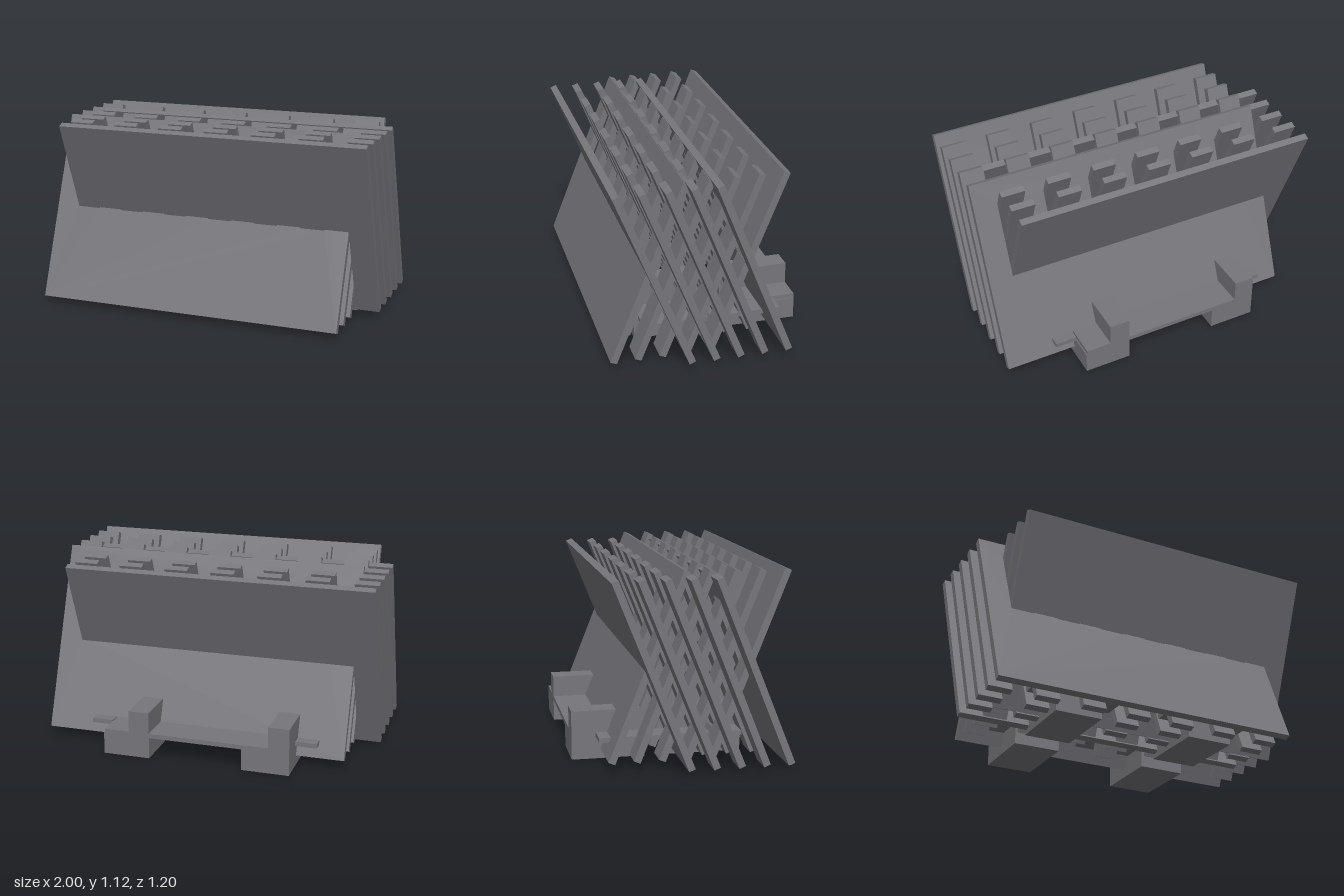
import * as THREE from 'three';

const U = 1 / 7;              // module width: one tooth, one gap
const LEN = 8 * U;            // slat length along its slope
const THICK = 0.04;
const TILT = Math.atan(0.4);

const grey = new THREE.MeshStandardMaterial({ color: 0x77767b });
grey.name = 'grey';

function box(name, x0, x1, y0, y1, z0, z1) {
  const mesh = new THREE.Mesh(new THREE.BoxGeometry(x1 - x0, y1 - y0, z1 - z0), grey);
  mesh.position.set((x0 + x1) / 2, (y0 + y1) / 2, (z0 + z1) / 2);
  mesh.name = name;
  return mesh;
}

// Outer board: a full panel with a row of windows between two heights
function windowedPanel(low, high) {
  const w = 6.5 * U, h = LEN / 2;
  const shape = new THREE.Shape([
    new THREE.Vector2(-w, -h), new THREE.Vector2(w, -h),
    new THREE.Vector2(w, h), new THREE.Vector2(-w, h),
  ]);
  for (let i = 0; i < 6; i++) {
    const x = -w + (2 * i + 1) * U;
    shape.holes.push(new THREE.Path([
      new THREE.Vector2(x, low), new THREE.Vector2(x, high),
      new THREE.Vector2(x + U, high), new THREE.Vector2(x + U, low),
    ]));
  }
  const geo = new THREE.ExtrudeGeometry(shape, { depth: THICK, bevelEnabled: false });
  geo.translate(0, 0, -THICK / 2);
  const mesh = new THREE.Mesh(geo, grey);
  mesh.name = 'windowedPanel';
  return mesh;
}

// Inner row: seven separate planks
function plankRow() {
  const row = new THREE.Group();
  for (let i = 0; i < 7; i++) {
    const x = (2 * i - 6.5) * U;
    row.add(box('plank', x, x + U, -LEN / 2, LEN / 2, -THICK / 2, THICK / 2));
  }
  row.name = 'plankRow';
  return row;
}

// Five parallel leaning rows
function leaningSet() {
  const set = new THREE.Group();
  for (let i = 0; i < 5; i++) {
    const row = i === 0 ? windowedPanel(-3 * U, 0)
      : i === 4 ? windowedPanel(0, 3 * U) : plankRow();
    row.position.set(U / 2, 0.5825, 0.3695 - i * U);
    row.rotation.x = TILT;
    set.add(row);
  }
  return set;
}

export function createModel() {
  const model = new THREE.Group();

  // Two sets lean opposite ways and interlock
  const forward = leaningSet();
  forward.name = 'forwardLeaningSet';
  const backward = leaningSet();
  backward.name = 'backwardLeaningSet';
  backward.rotation.z = Math.PI;
  backward.position.y = 1.145;
  model.add(forward, backward);

  // Four stepped feet
  for (const x of [-4 * U, 2 * U]) {
    for (const z of [-0.6, -0.03]) {
      const foot = new THREE.Group();
      foot.name = 'foot';
      foot.add(box('footBase', x, x + 2 * U, 0, 0.13, z, z + 3 * U - 0.003));
      foot.add(box('footUpright', x, x + 0.126, 0.13, 2 * U, z, z + 3 * U - 0.003));
      model.add(foot);
    }
  }

  // Flat plate between the feet, with long rods
  model.add(box('rearPlate', -0.445, 0.565, 0.13, 0.157, -0.6, -0.24));
  for (const x of [-0.637, -0.214, 0.214, 0.637]) {
    model.add(box('rod', x - 0.065, x + 0.065, 0.13, 0.157, -0.46, 0.37));
  }
  return model;
}
